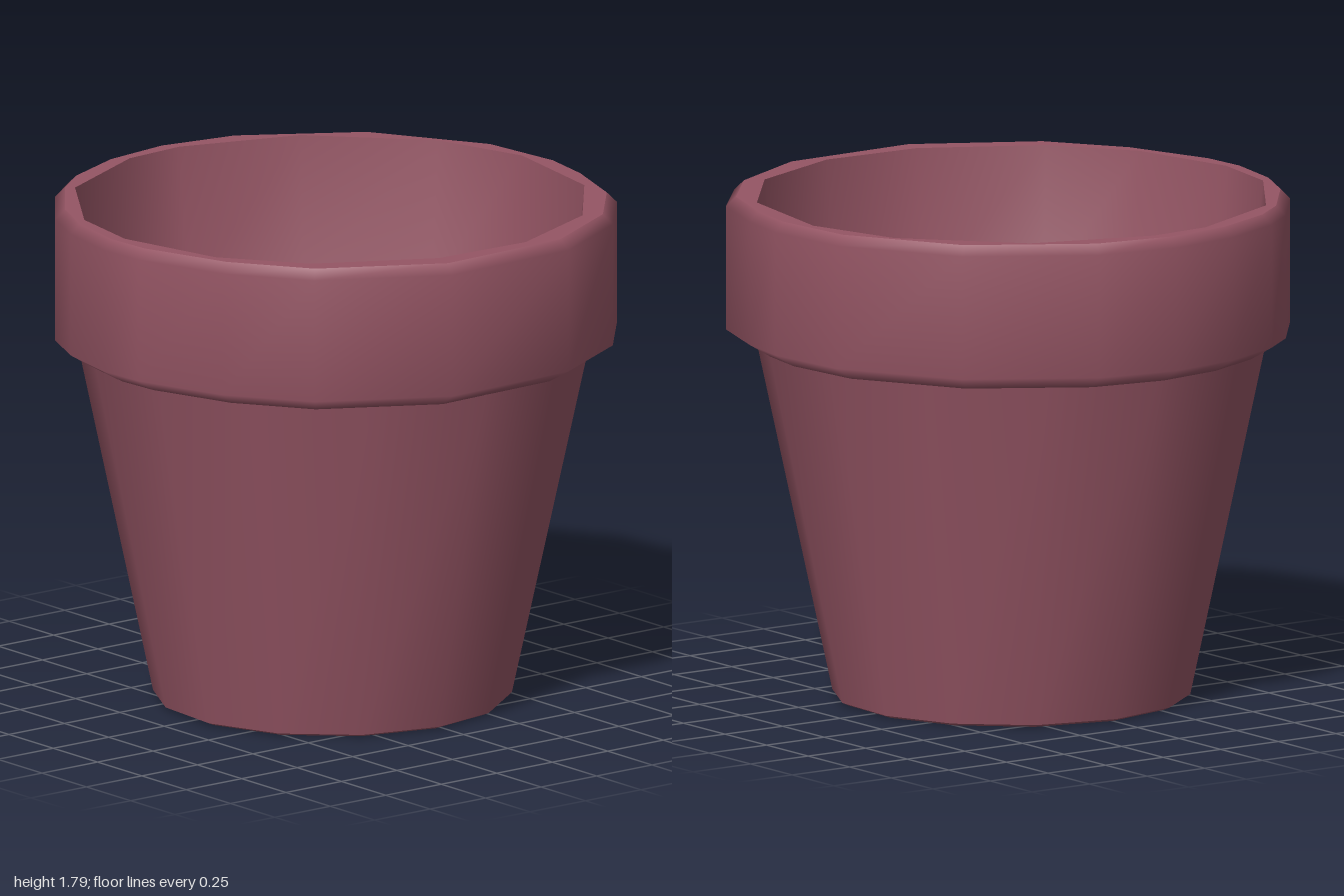
import * as THREE from 'three';

// Ring outlines as [x, z] corners, running from the front towards +x
const ring = (angles, cx) => angles.map(d => {
  const a = THREE.MathUtils.degToRad(d);
  return [cx + Math.sin(a), Math.cos(a)];
});
const RIM = [
  [-0.04, 0.99], [0.14, 0.98], [0.48, 0.87], [0.76, 0.68], [1, 0.25], [0.98, -0.29], [0.79, -0.64],
  [0.55, -0.85], [0.27, -0.95], [0.06, -0.99], [-0.27, -0.96], [-0.69, -0.72], [-0.95, -0.31],
  [-1, -0.01], [-0.96, 0.26], [-0.85, 0.51], [-0.74, 0.65], [-0.49, 0.85], [-0.29, 0.94],
];
const INNER = ring([-1, 25, 47, 76, 100, 127, 154, 184, 207, 238, 267, 282, 311, 340], 0);
const BODY = ring([-17, 8, 34, 61, 88, 112, 140, 164, 190, 215, 242, 270, 296, 320], 0.016);
const HOLE = [[-0.05, 0.07], [0.13, 0.1], [0.19, -0.07], [0.02, -0.12]];

// Closed band of quads: a profile of [scale, y] applied to one outline
function band(profile, outline) {
  const n = outline.length, pos = [], idx = [];
  for (const [s, y] of profile)
    for (const [x, z] of outline) pos.push(s * x, y, s * z);
  for (let i = 0; i < profile.length - 1; i++)
    for (let j = 0; j < n; j++) {
      const a = i * n + j, b = i * n + (j + 1) % n;
      idx.push(a, b, b + n, a, b + n, a + n);
    }
  const g = new THREE.BufferGeometry();
  g.setAttribute('position', new THREE.Float32BufferAttribute(pos, 3));
  g.setIndex(idx);
  g.computeVertexNormals();
  return g;
}

// Flat polygon with a hole at height y, facing up or down
function plate(outer, so, inner, si, y, up) {
  const side = up ? -1 : 1;
  const loop = (outline, s) => outline.map(([x, z]) => new THREE.Vector2(s * x, side * s * z));
  const shape = new THREE.Shape(loop(outer, so));
  shape.holes.push(new THREE.Path(loop(inner, si)));
  return new THREE.ShapeGeometry(shape).rotateX(side * Math.PI / 2).translate(0, y, 0);
}

export function createModel() {
  const group = new THREE.Group();
  const clay = new THREE.MeshStandardMaterial({ color: 0x955564 });
  clay.name = 'clay';
  const add = (name, geometry) => {
    const mesh = new THREE.Mesh(geometry, clay);
    mesh.name = name;
    group.add(mesh);
  };

  // Tapered outer wall
  add('outerWall', band([[0.632, 0.01], [0.905, 1.29]], BODY));

  // Thick collar with softened edges
  add('rim', band([[0.87, 1.265], [0.92, 1.272], [1, 1.32], [1, 1.76], [0.965, 1.795]], RIM));
  add('rimTop', plate(RIM, 0.965, INNER, 0.915, 1.795, true));

  // Inside of the pot, steeper behind the collar and curving into the floor
  add('innerWall', band([[0.915, 1.795], [0.86, 1.28], [0.605, 0.19], [0.56, 0.16], [0.4, 0.16]], INNER));
  add('floor', plate(INNER, 0.4, HOLE, 1, 0.16, true));

  // Foot, gently hollowed underside and drain hole
  add('underside', band([[0.21, 0.095], [0.53, 0.07], [0.585, 0.01], [0.61, 0], [0.632, 0.01]], BODY));
  add('undersideCentre', plate(BODY, 0.21, HOLE, 1, 0.095, false));
  add('drainHole', band([[1, 0.16], [1, 0.095]], HOLE));

  return group;
}
